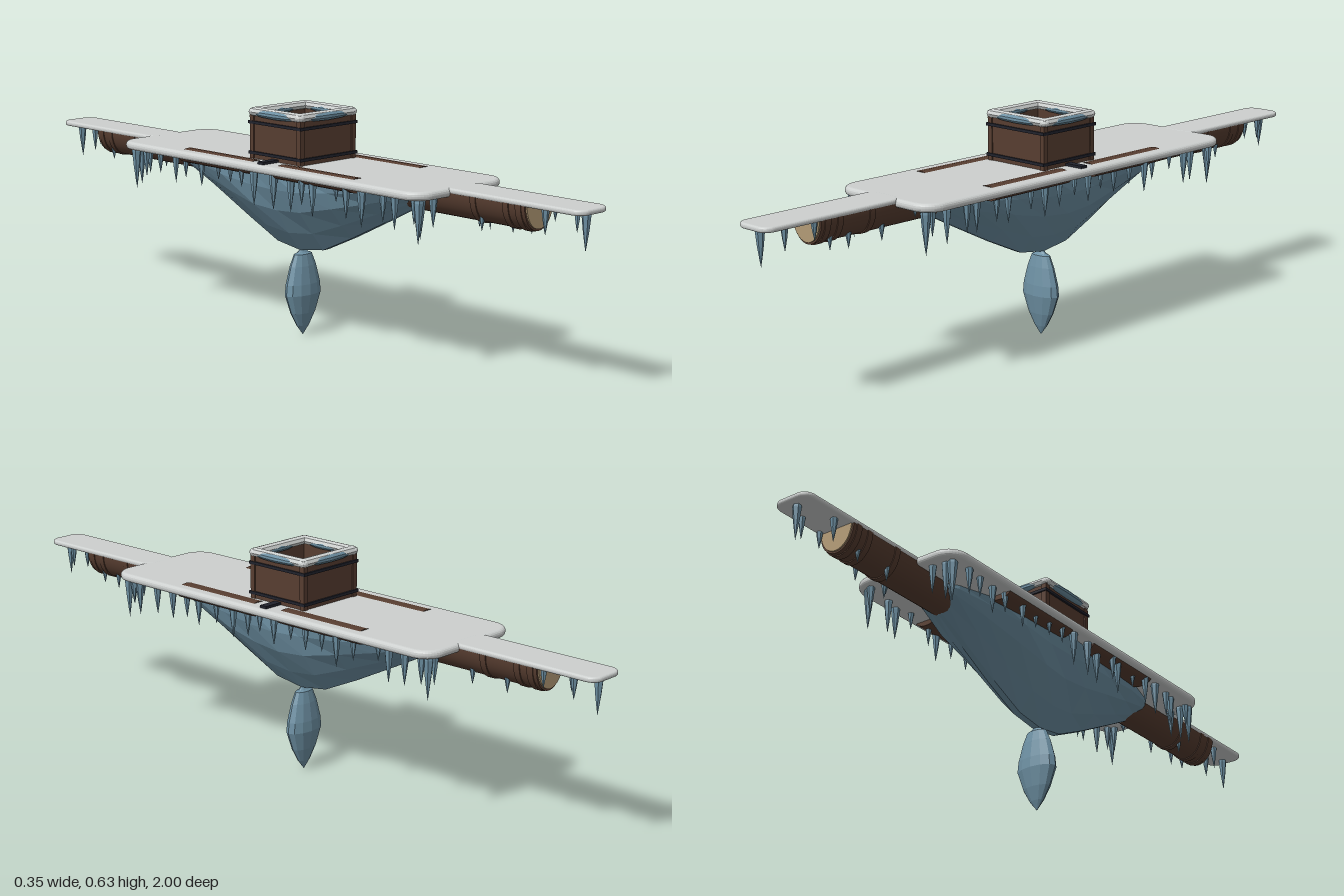
import * as THREE from 'three';

const mat = (name, color) => {
  const m = new THREE.MeshStandardMaterial({ color });
  m.name = name;
  return m;
};

// Turn any geometry into a faceted one
function flat(geo) {
  const g = geo.index ? geo.toNonIndexed() : geo;
  g.computeVertexNormals();
  return g;
}

// Rounded slab lying flat, with a soft bullnose edge
function slab(halfX, halfZ, r, y0, y1) {
  const b = (y1 - y0) / 2 - 0.001, w = halfX - b, h = halfZ - b;
  const s = new THREE.Shape();
  s.moveTo(-w + r, -h);
  s.lineTo(w - r, -h).absarc(w - r, -h + r, r, -Math.PI / 2, 0);
  s.lineTo(w, h - r).absarc(w - r, h - r, r, 0, Math.PI / 2);
  s.lineTo(-w + r, h).absarc(-w + r, h - r, r, Math.PI / 2, Math.PI);
  s.lineTo(-w, -h + r).absarc(-w + r, -h + r, r, Math.PI, Math.PI * 1.5);
  const g = new THREE.ExtrudeGeometry(s, {
    depth: 0.002, bevelEnabled: true, bevelSize: b, bevelThickness: b, bevelSegments: 4, curveSegments: 6,
  });
  return g.rotateX(-Math.PI / 2).translate(0, y0 + b, 0);
}

// Coarsely faceted keel lofted from cross-sections along z
function hullGeometry() {
  const stations = [[0, 0.235], [0.09, 0.222], [0.2, 0.172], [0.32, 0.112], [0.43, 0.056], [0.52, 0.012]];
  const half = [[1, 0], [0.95, 0.22], [0.78, 0.48], [0.42, 0.77], [0.08, 1]];
  const section = [...half, ...half.map(([x, t]) => [-x, t]).reverse()];
  const all = [...stations.slice(1).reverse().map(([z, d]) => [-z, d]), ...stations];
  const pos = [], idx = [], n = section.length;
  all.forEach(([z, d], i) => {
    const w = 0.004 + 0.124 * Math.pow(1 - (z / 0.521) ** 2, 0.5);
    section.forEach(([x, t], j) => {
      const chip = 1 + 0.03 * Math.sin(i * 2.3 + j * 1.7);
      pos.push(x * w * chip, 0.478 - t * d, z);
    });
  });
  for (let i = 0; i < all.length - 1; i++) {
    for (let j = 0; j < n - 1; j++) {
      const a = i * n + j, b = a + 1, c = a + n, e = c + 1;
      idx.push(a, c, b, b, c, e);
    }
  }
  const g = new THREE.BufferGeometry();
  g.setAttribute('position', new THREE.Float32BufferAttribute(pos, 3));
  g.setIndex(idx);
  return flat(g);
}

export function createModel() {
  const root = new THREE.Group();
  root.name = 'frozenRaft';
  const snow = mat('snow', 0xcdd0cf);
  const ice = mat('ice', 0x6e91a4);
  const bark = mat('bark', 0x573d30);
  const cutWood = mat('cutWood', 0xb39b76);
  const iron = mat('iron', 0x20222c);

  const add = (name, geo, material, x = 0, y = 0, z = 0, parent = root) => {
    const m = new THREE.Mesh(geo, material);
    m.name = name;
    m.position.set(x, y, z);
    parent.add(m);
    return m;
  };
  const box = (name, w, h, d, material, x, y, z) => add(name, new THREE.BoxGeometry(w, h, d), material, x, y, z);

  // Snow covered deck and its two narrow ends
  add('deckSnow', slab(0.173, 0.585, 0.05, 0.475, 0.498), snow);
  for (const s of [-1, 1]) {
    add(s > 0 ? 'frontSnow' : 'backSnow', slab(0.057, 0.22, 0.025, 0.484, 0.4985), snow, 0, 0, s * 0.78);
  }

  // Split centre log showing at both ends
  const halfLog = (r, len) => new THREE.CylinderGeometry(r, r, len, 16, 1, false, -Math.PI / 2, Math.PI)
    .rotateX(Math.PI / 2).scale(1, 1.26, 1);
  for (const s of [-1, 1]) {
    add('centreLog', halfLog(0.055, 0.42), bark, 0, 0.487, s * 0.615);
    add('logEnd', halfLog(0.05, 0.008), cutWood, 0, 0.486, s * 0.825);
    for (const z of [0.805, 0.765, 0.66]) add('barkRing', halfLog(0.0575, 0.018), bark, 0, 0.487, s * z);
  }

  // Side logs just breaking through the snow
  const sideLogGeo = new THREE.CylinderGeometry(1, 1, 0.28, 16).rotateX(Math.PI / 2).scale(0.036, 0.02, 1);
  for (const sx of [-1, 1]) {
    for (const sz of [-1, 1]) add('sideLog', sideLogGeo, bark, sx * 0.125, 0.4805, sz * 0.19);
  }

  // Faceted ice keel with a hanging pod
  add('iceKeel', hullGeometry(), ice);
  const podProfile = [[0, 0.003], [0.022, 0.03], [0.043, 0.067], [0.062, 0.12], [0.059, 0.15], [0.045, 0.2], [0.031, 0.232], [0.02, 0.236], [0.012, 0.243], [0, 0.247]]
    .map(([x, y]) => new THREE.Vector2(x, y));
  add('icePod', flat(new THREE.LatheGeometry(podProfile, 12).scale(1, 1, 0.5)), ice);

  // Open plank crate: walls, corner posts, iron bands and side bars
  for (const s of [-1, 1]) {
    box('crateWall', 0.2, 0.12, 0.012, bark, 0, 0.556, s * 0.089);
    box('crateWall', 0.012, 0.12, 0.17, bark, s * 0.095, 0.556, 0);
    for (const t of [-1, 1]) box('cratePost', 0.015, 0.12, 0.015, bark, s * 0.097, 0.557, t * 0.091);
    for (const y of [0.514, 0.597]) {
      box('crateBand', 0.214, 0.008, 0.005, iron, 0, y, s * 0.1);
      box('crateBand', 0.005, 0.008, 0.2, iron, s * 0.1045, y, 0);
    }
    box('sideBar', 0.06, 0.008, 0.022, iron, s * 0.128, 0.501, 0);
  }
  add('crateIce', flat(new THREE.SphereGeometry(0.074, 12, 8).scale(1, 0.4, 0.86)), ice, 0, 0.5, 0);
  box('iceKnob', 0.024, 0.008, 0.024, ice, 0, 0.528, 0);

  // Snow rim with sagging ice crust round the crate mouth
  const shard = (l, h, d) => flat(new THREE.SphereGeometry(1, 10, 6).rotateZ(Math.PI / 2).scale(l, h, d));
  for (let i = 0; i < 4; i++) {
    const side = new THREE.Group();
    side.name = 'crateRim';
    side.rotation.y = i * Math.PI / 2;
    root.add(side);
    const off = i % 2 ? 0.096 : 0.088, len = i % 2 ? 0.176 : 0.192;
    const bar = new THREE.CapsuleGeometry(0.0165, len, 4, 8).rotateZ(Math.PI / 2).scale(1, 0.75, 1);
    add('rimSnow', flat(bar), snow, 0, 0.6255, off, side);
    add('rimIce', shard(0.098, 0.0125, 0.0145), ice, 0, 0.6235, off + 0.005, side);
    add('rimIceInside', shard(0.065, 0.011, 0.012), ice, 0.01, 0.622, off - 0.006, side);
  }

  // Icicles, slightly bulged and faceted
  let seed = 11;
  const rnd = () => (seed = (seed * 16807) % 2147483647) / 2147483647;
  const icicleGeo = flat(new THREE.LatheGeometry(
    [[0, -1], [0.3, -0.78], [0.7, -0.45], [1, -0.1], [0.85, 0]].map(([x, y]) => new THREE.Vector2(x, y)), 6));
  const icicles = new THREE.Group();
  icicles.name = 'icicles';
  root.add(icicles);
  const icicle = (x, z, len, y = 0.48) => {
    const r = 0.005 + len * 0.07;
    const m = add('icicle', icicleGeo, ice, x, y, z, icicles);
    m.scale.set(r, len, r);
    m.rotation.y = rnd() * 3;
  };
  for (const s of [-1, 1]) {
    for (let i = 0; i < 20; i++) {
      icicle(s * (0.132 + rnd() * 0.018), -0.54 + i * 0.0568 + (rnd() - 0.5) * 0.03, 0.05 + rnd() * 0.055);
    }
    for (const [x, len] of [[-0.138, 0.12], [-0.118, 0.11], [-0.08, 0.085], [0.085, 0.03], [0.12, 0.08], [0.134, 0.12]]) {
      icicle(x, s * (0.54 + rnd() * 0.02), len);
    }
    // Under the log and the narrow ends
    for (const z of [0.61, 0.67, 0.72, 0.78]) {
      icicle((rnd() < 0.5 ? -1 : 1) * 0.03, s * z, 0.04 + rnd() * 0.02, 0.445);
    }
    icicle(0, s * 0.97, 0.1, 0.487);
    icicle(0.03, s * 0.92, 0.065, 0.487);
    icicle(-0.03, s * 0.87, 0.07, 0.487);
    icicle(0.045, s * 0.84, 0.05, 0.487);
  }
  return root;
}
